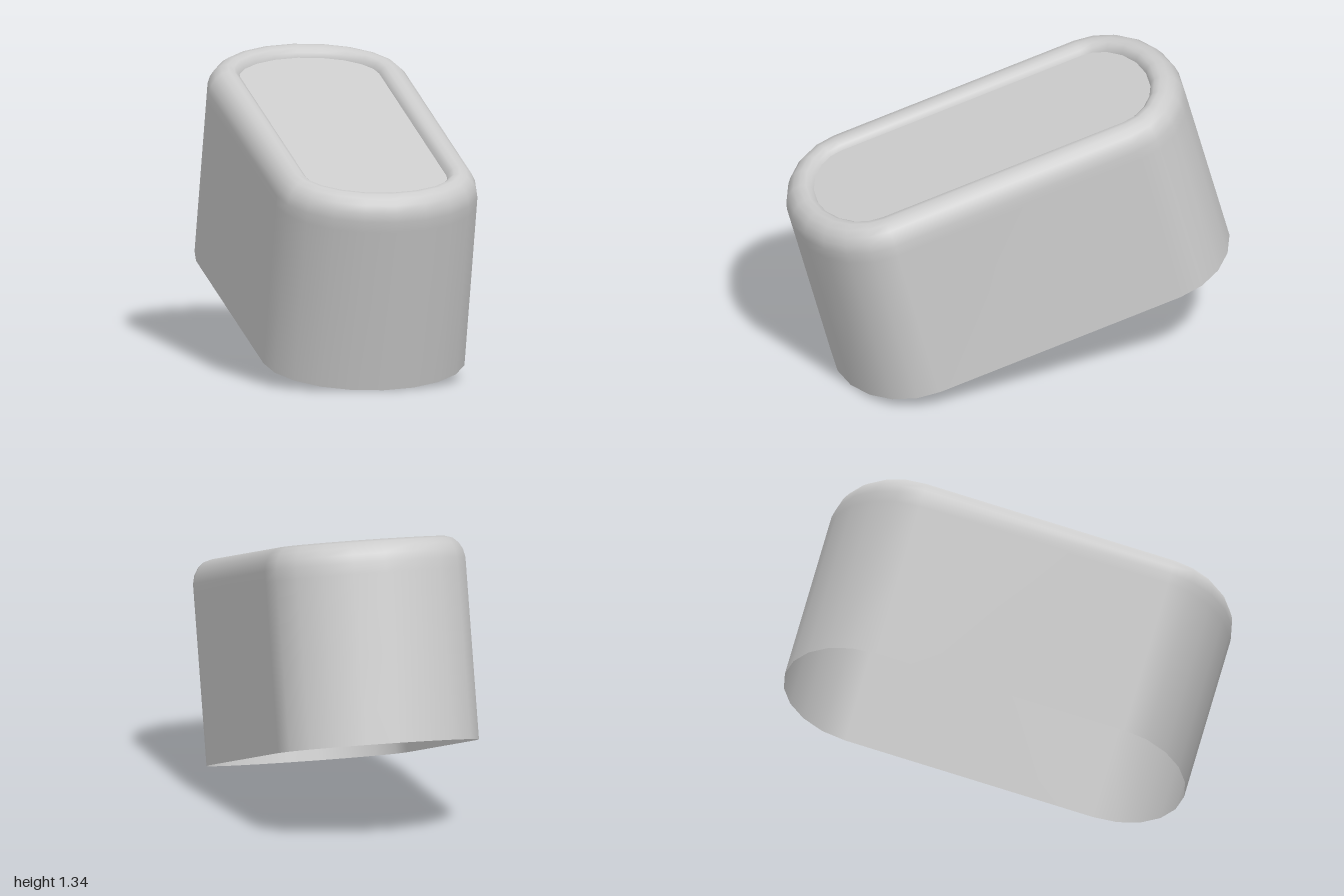
import * as THREE from 'three';

const HALF_W = 0.46, HALF_L = 0.927, END = 0.35, SEG = 10;

// Oval outline with elliptical ends, moved inward by inset along its normals
function outline(inset) {
  const pts = [];
  for (const side of [1, -1]) {
    for (let i = 0; i <= SEG; i++) {
      const t = (i / SEG) * Math.PI + (side < 0 ? Math.PI : 0);
      const c = Math.cos(t), s = Math.sin(t);
      const n = new THREE.Vector2(c / HALF_W, s / END).normalize();
      pts.push(new THREE.Vector2(
        HALF_W * c - inset * n.x,
        side * (HALF_L - END) + END * s - inset * n.y));
    }
  }
  return pts;
}

// Skin the outline along a profile of [inset, height] pairs
function skin(profile) {
  const pos = [], index = [], n = 2 * (SEG + 1);
  profile.forEach(([inset, h], j) => {
    outline(inset).forEach((p, i) => {
      pos.push(p.x, h, p.y);
      if (j === profile.length - 1) return;
      const a = j * n + i, b = j * n + (i + 1) % n;
      index.push(a, a + n, b, b, a + n, b + n);
    });
  });
  const g = new THREE.BufferGeometry();
  g.setAttribute('position', new THREE.Float32BufferAttribute(pos, 3));
  g.setIndex(index);
  g.computeVertexNormals();
  return g;
}

export function createModel() {
  const group = new THREE.Group();
  const material = new THREE.MeshStandardMaterial({ color: 0xcccccc, side: THREE.DoubleSide });

  // Thin wall, open below, rolling over a rounded rim
  const shell = new THREE.Mesh(skin([
    [0, 0], [0, 0.4], [0, 0.76], [0, 0.81], [0.008, 0.847], [0.026, 0.879], [0.052, 0.902],
    [0.085, 0.912], [0.112, 0.907], [0.131, 0.893], [0.14, 0.872],
  ]), material);
  shell.name = 'shell';

  // Flat panel set into the rim
  const shape = new THREE.Shape(outline(0.14).map(p => new THREE.Vector2(p.x, -p.y)));
  const panel = new THREE.Mesh(new THREE.ShapeGeometry(shape).rotateX(-Math.PI / 2), material);
  panel.position.y = 0.872;
  panel.name = 'topPanel';

  // Whole body leans forward
  const body = new THREE.Group();
  body.name = 'tiltedBody';
  body.add(shell, panel);
  body.rotation.set(THREE.MathUtils.degToRad(15), -0.007, 0);
  body.position.set(0, 0.241, -0.105);
  group.add(body);
  return group;
}
